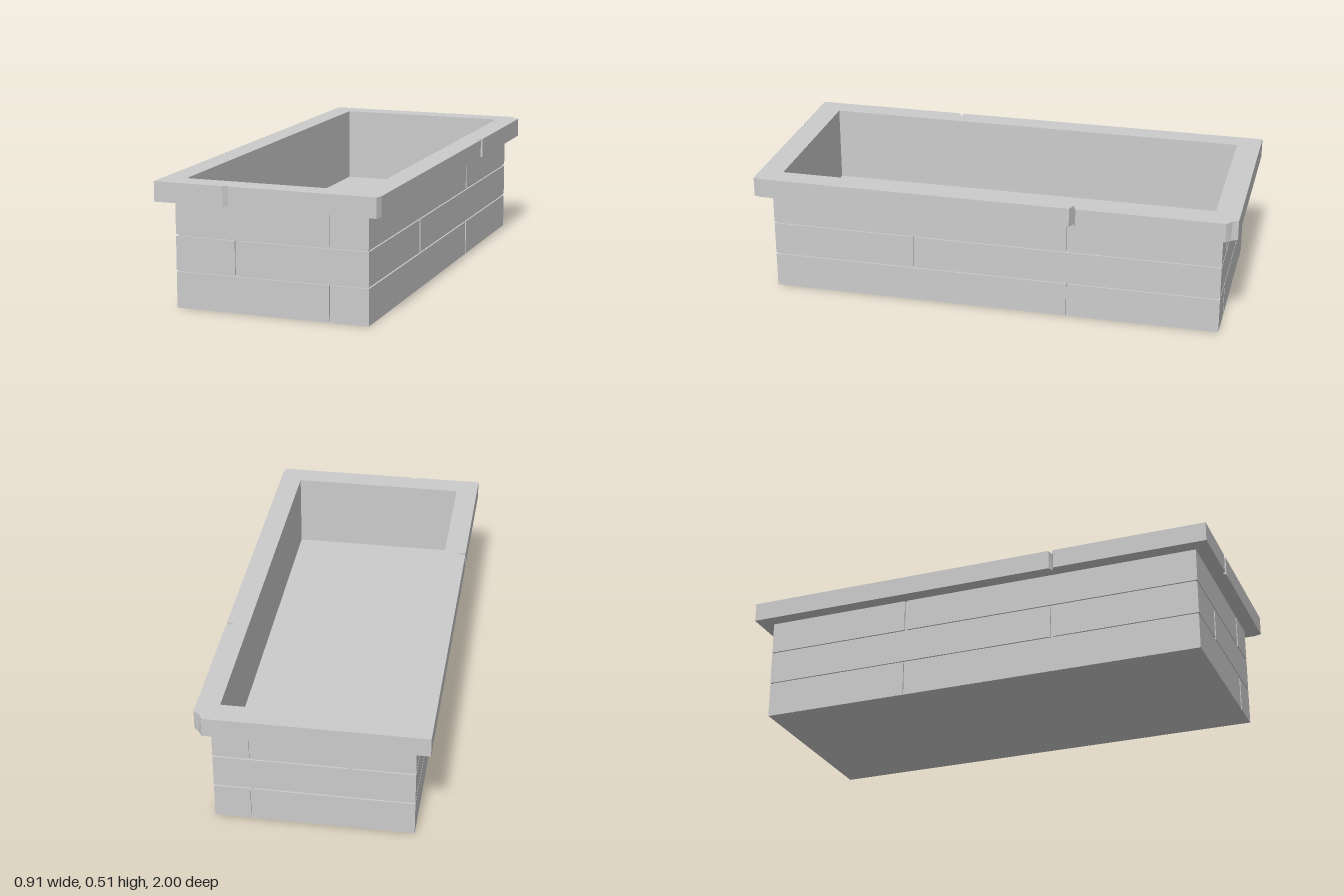
import * as THREE from 'three';

const material = new THREE.MeshStandardMaterial({ color: 0xcccccc, flatShading: true });
const OUT = [0.397, 0.94];   // half width and half length of the brickwork
const IN = [0.365, 0.9];     // half width and half length of the basin
const INSET = 0.007;         // depth of the mortar joints

const rect = (hx, hz) => [[-hx, -hz], [-hx, hz], [hx, hz], [hx, -hz]];
const toVectors = (points) => points.map(([x, z]) => new THREE.Vector2(x, -z));

// Extrudes an x/z outline upward from y0 to y1, with an optional rectangular hole.
function slab(name, outline, y0, y1, hole) {
  const shape = new THREE.Shape(toVectors(outline));
  if (hole) shape.holes.push(new THREE.Path(toVectors(hole)));
  const geometry = new THREE.ExtrudeGeometry(shape, { depth: y1 - y0, bevelEnabled: false });
  geometry.rotateX(-Math.PI / 2).translate(0, y0, 0);
  const mesh = new THREE.Mesh(geometry, material);
  mesh.name = name;
  return mesh;
}

// One course: four L-shaped corner bricks, parted by a joint in every wall.
function brickCourse(name, y0, y1, jointX, jointZ) {
  const course = new THREE.Group();
  course.name = name;
  const [ox, oz] = OUT;
  const ix = IN[0] + 0.005, iz = IN[1] + 0.005;
  for (const sx of [-1, 1]) {
    for (const sz of [-1, 1]) {
      const x = jointX + sx * 0.007, z = jointZ + sz * 0.006;
      course.add(slab('cornerBrick', [
        [x, sz * oz], [sx * ox, sz * oz], [sx * ox, z],
        [sx * ix, z], [sx * ix, sz * iz], [x, sz * iz],
      ], y0, y1));
    }
  }
  return course;
}

// Coping with chipped edges; some chips lean between bottom and top.
function chippedRim() {
  const X = 0.457, y0 = 0.43, y1 = 0.51;
  // x, z at the top, then x, z at the bottom where they differ
  const corners = [
    [-X, -1], [-X, 0.34], [-0.424, 0.345, -0.434, 0.349], [-X, 0.36],
    [-X, 1], [-0.17, 1], [-0.149, 0.985, -0.158, 0.988], [-0.147, 1],
    [0.448, 1], [X, 0.97],
    [X, -0.33], [0.424, -0.342], [X, -0.356],
    [X, -0.955], [0.427, -0.977, 0.437, -0.973], [0.42, -1],
  ];
  const rim = slab('rim', corners.map(([x, z]) => [x, z]), y0, y1, rect(...IN));
  const position = rim.geometry.attributes.position;
  for (let i = 0; i < position.count; i++) {
    if (position.getY(i) > y0 + 0.01) continue;
    const chip = corners.find((c) => c.length === 4 &&
      Math.hypot(c[0] - position.getX(i), c[1] - position.getZ(i)) < 1e-4);
    if (chip) position.setXYZ(i, chip[2], y0, chip[3]);
  }
  rim.geometry.computeVertexNormals();
  return rim;
}

export function createModel() {
  const model = new THREE.Group();
  model.name = 'brickPlanter';

  // Three courses with staggered joints
  model.add(
    brickCourse('bottomCourse', 0, 0.145, 0.245, -0.316),
    brickCourse('middleCourse', 0.152, 0.287, -0.142, 0.33),
    brickCourse('topCourse', 0.295, 0.43, 0.245, -0.316),
  );

  // Mortar walls behind the joints, and the solid base inside them
  const core = rect(OUT[0] - INSET, OUT[1] - INSET);
  model.add(slab('mortarWalls', core, 0.001, 0.43, rect(...IN)));
  model.add(slab('basinFloor', rect(...IN), 0.001, 0.19));
  model.add(slab('underside', rect(OUT[0] - 0.001, OUT[1] - 0.001), -0.0005, 0.0005));

  model.add(chippedRim());
  return model;
}
